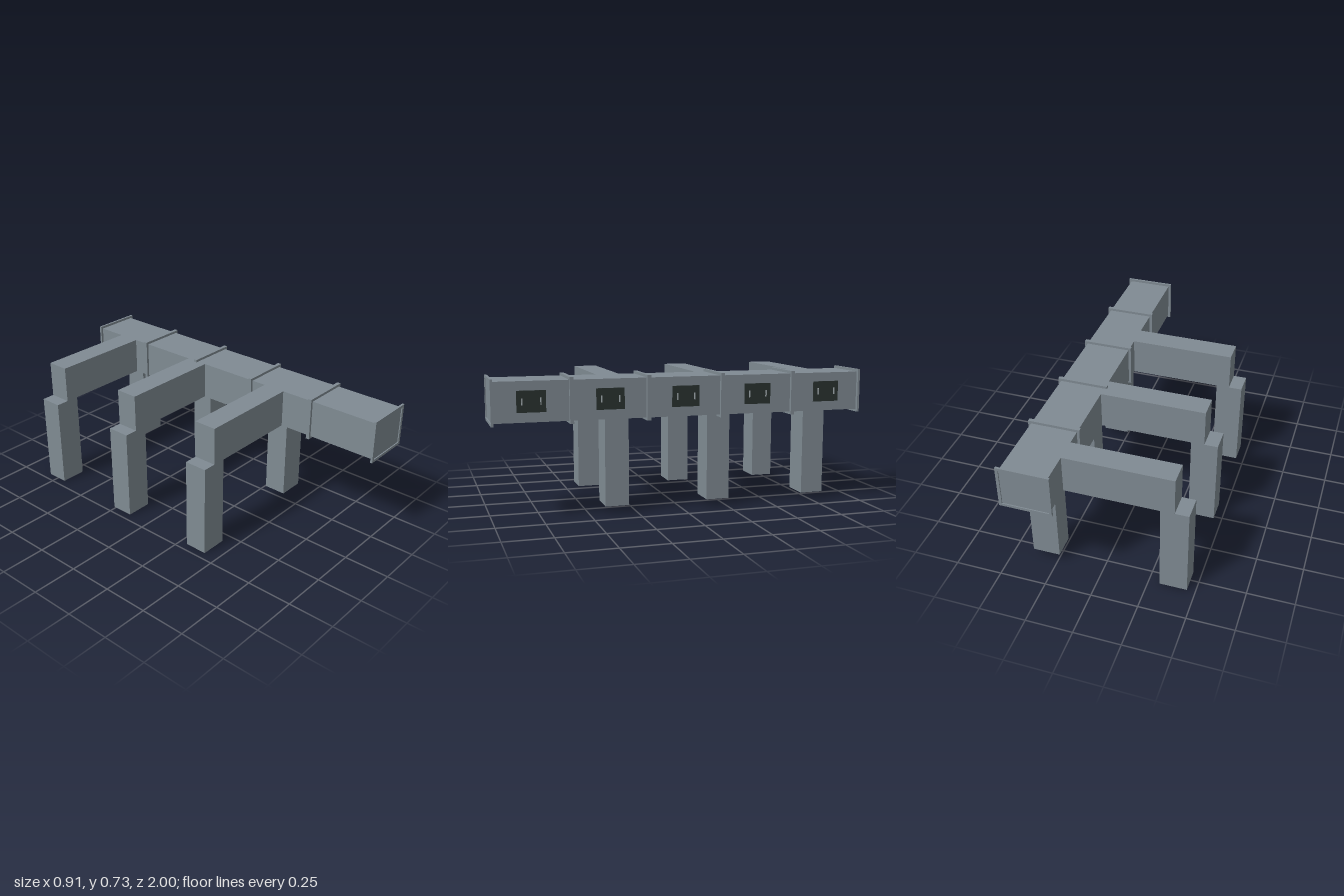
import * as THREE from 'three';

export function createModel() {
  const model = new THREE.Group();
  model.name = 'ductRun';
  const mat = (name, color) => {
    const m = new THREE.MeshStandardMaterial({ color });
    m.name = name;
    return m;
  };
  const steel = mat('greySteel', 0x808b93);
  const dark = mat('darkPanel', 0x2a3230);
  const light = mat('paleGrey', 0x9aa3a6);

  // Box given by its minimum and maximum on each axis
  const box = (name, material, [x0, x1], [y0, y1], [z0, z1]) => {
    const mesh = new THREE.Mesh(new THREE.BoxGeometry(x1 - x0, y1 - y0, z1 - z0), material);
    mesh.position.set((x0 + x1) / 2, (y0 + y1) / 2, (z0 + z1) / 2);
    mesh.name = name;
    model.add(mesh);
  };

  const ductX = [0.19, 0.437];
  const ductY = [0.505, 0.711];
  box('mainDuct', steel, ductX, ductY, [-0.994, 0.994]);

  // Rectangular flange frames around the duct
  const rect = (target, x0, x1, y0, y1) => {
    target.moveTo(x0, y0);
    target.lineTo(x1, y0);
    target.lineTo(x1, y1);
    target.lineTo(x0, y1);
    target.closePath();
    return target;
  };
  const flange = (z0, z1) => {
    const shape = rect(new THREE.Shape(), 0.176, 0.453, 0.491, 0.725);
    shape.holes.push(rect(new THREE.Path(), ...ductX, ...ductY));
    const geometry = new THREE.ExtrudeGeometry(shape, { depth: z1 - z0, bevelEnabled: false });
    const mesh = new THREE.Mesh(geometry, steel);
    mesh.position.z = z0;
    mesh.name = 'flange';
    model.add(mesh);
  };
  for (const z of [-0.6, -0.2, 0.2, 0.6]) flange(z - 0.01, z + 0.01);
  flange(-1, -0.988);
  flange(0.988, 1);

  // Side branches, each with an outer leg and a leg under the main duct
  for (const z of [-0.757, -0.2, 0.356]) {
    const span = [z - 0.063, z + 0.063];
    box('branchDuct', steel, [-0.382, 0.195], ductY, span);
    box('outerLeg', steel, [-0.455, -0.309], [0, 0.507], span);
    box('innerLeg', steel, [0.241, 0.388], [0.04, 0.507], span);
  }

  // Dark access panels with two small handles each
  for (const z of [-0.8, -0.4, 0, 0.4, 0.8]) {
    box('accessPanel', dark, [0.435, 0.443], [0.555, 0.664], [z - 0.073, z + 0.073]);
    for (const side of [-1, 1]) {
      const c = z + side * 0.047;
      box('panelHandle', light, [0.442, 0.449], [0.592, 0.627], [c - 0.003, c + 0.003]);
    }
  }
  return model;
}
